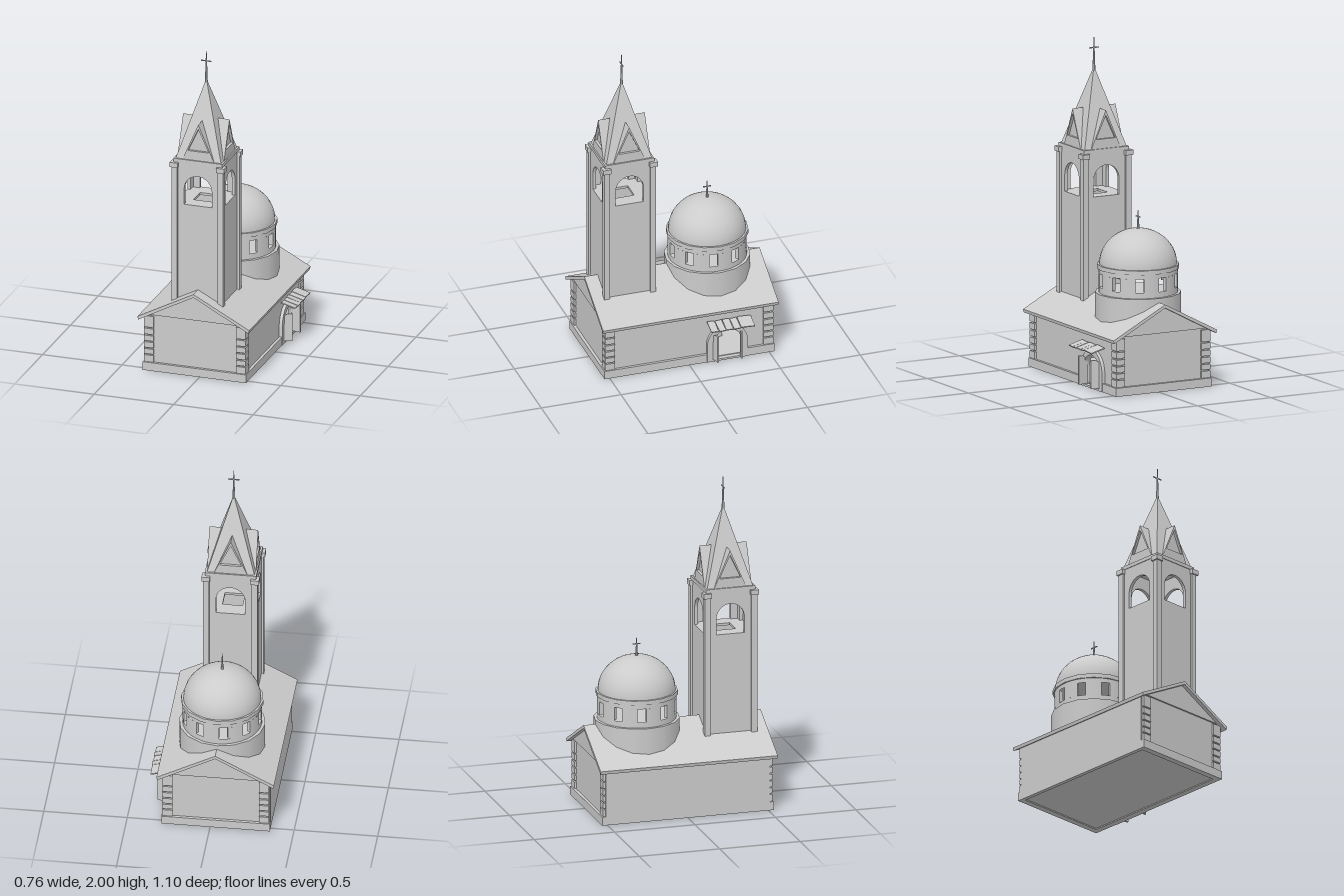
import * as THREE from 'three';

const CX = -0.033;          // axis of the church
const TZ = 0.317;           // tower centre
const DZ = -0.22;           // dome centre
const DOOR = -0.238;        // door centre along z
const SLOPE = 0.5256;
const roofY = (x) => 0.53 - Math.abs(x) * SLOPE;

const flat = new THREE.MeshStandardMaterial({ color: 0xcccccc, flatShading: true });
const smooth = new THREE.MeshStandardMaterial({ color: 0xcccccc });

function add(parent, name, geo, x = 0, y = 0, z = 0, mat = flat) {
  const m = new THREE.Mesh(geo, mat);
  m.name = name;
  m.position.set(x, y, z);
  parent.add(m);
  return m;
}
const box = (p, name, w, h, d, x, y, z) => add(p, name, new THREE.BoxGeometry(w, h, d), x, y, z);

function group(parent, name, x = 0, y = 0, z = 0) {
  const g = new THREE.Group();
  g.name = name;
  g.position.set(x, y, z);
  parent.add(g);
  return g;
}

const poly = (pts) => new THREE.Shape(pts.map((p) => new THREE.Vector2(...p)));
const rect = (x0, y0, x1, y1) => poly([[x0, y0], [x1, y0], [x1, y1], [x0, y1]]);

// Round-headed opening
function arch(cx, half, y0, spring, top, Type = THREE.Path) {
  const p = new Type();
  p.moveTo(cx - half, y0);
  p.lineTo(cx + half, y0);
  p.lineTo(cx + half, spring);
  p.absellipse(cx, spring, half, top - spring, 0, Math.PI, false);
  p.lineTo(cx - half, y0);
  return p;
}
const extrude = (shape, depth) =>
  new THREE.ExtrudeGeometry(shape, { depth, bevelEnabled: false, curveSegments: 14 });

function cross(parent, name, y0, y1, armY, arm, alongX, z) {
  const g = group(parent, name, 0, 0, z);
  add(g, 'crossShaft', new THREE.CylinderGeometry(0.002, 0.009, y1 - y0, 6), 0, (y0 + y1) / 2, 0);
  box(g, 'crossArm', alongX ? arm : 0.005, 0.006, alongX ? 0.005 : arm, 0, armY, 0);
}

function buildHall(root) {
  const hall = group(root, 'hall');
  // End walls with the gable band standing proud above the recessed panel
  for (const s of [1, -1]) {
    const end = group(hall, s > 0 ? 'frontWall' : 'backWall');
    if (s < 0) end.rotation.y = Math.PI;
    const g = 0.02;
    add(end, 'endPanel', extrude(poly([[-0.305, 0], [0.305, 0], [0.305, roofY(0.305) - g],
      [0, 0.53 - g], [-0.305, roofY(0.305) - g]]), 0.02), 0, 0, 0.495);
    add(end, 'gable', extrude(poly([[-0.3, 0.355], [0.3, 0.355], [0, 0.53 - 0.015]]), 0.02), 0, 0, 0.505);
  }
  // Side walls, the +x one with the doorway
  add(hall, 'plainSideWall', extrude(rect(-0.51, 0, 0.51, 0.355), 0.02), -0.305, 0, 0).rotation.y = -Math.PI / 2;
  const doorWall = rect(-0.51, 0, 0.51, 0.355);
  doorWall.holes.push(arch(-DOOR, 0.093, 0.012, 0.11, 0.203));
  add(hall, 'doorSideWall', extrude(doorWall, 0.02), 0.288, 0, 0).rotation.y = Math.PI / 2;
  box(hall, 'floor', 0.6, 0.01, 1.02, 0, 0.012, 0);

  // Plinth, interrupted at the doorway
  const ph = 0.052, d0 = DOOR - 0.1, d1 = DOOR + 0.1;
  for (const s of [1, -1]) box(hall, 'plinthEnd', 0.65, ph, 0.03, 0, ph / 2, s * 0.518);
  box(hall, 'plinthSide', 0.025, ph, 1.05, -0.3125, ph / 2, 0);
  for (const [a, b] of [[-0.525, d0], [d1, 0.525]])
    box(hall, 'plinthSide', 0.025, ph, b - a, 0.3125, ph / 2, (a + b) / 2);

  // Corner blocks separated by grooves
  const joints = [0.05, 0.1, 0.14, 0.183, 0.225, 0.27, 0.35];
  for (const sx of [1, -1]) for (const sz of [1, -1]) {
    for (let i = 0; i < joints.length - 1; i++) {
      const a = joints[i] + 0.004, b = joints[i + 1] - 0.004;
      box(hall, 'cornerBlock', 0.06, b - a, 0.062, sx * 0.29, (a + b) / 2, sz * 0.496);
    }
  }

  // Pitched roof slab
  const t = 0.02;
  add(hall, 'roof', extrude(poly([[-0.352, roofY(0.352)], [-0.347, roofY(0.352) - t], [0, 0.53 - t],
    [0.347, roofY(0.352) - t], [0.352, roofY(0.352)], [0, 0.53]]), 1.1), 0, 0, -0.55);
}

function buildDoor(root) {
  const door = group(root, 'entrance', 0, 0, DOOR);
  const surround = arch(0, 0.127, 0, 0.11, 0.236, THREE.Shape);
  surround.holes.push(arch(0, 0.093, 0.012, 0.11, 0.203));
  add(door, 'doorSurround', extrude(surround, 0.024), 0.304, 0, 0).rotation.y = Math.PI / 2;

  // Two open leaves with sloping tops
  for (const s of [1, -1]) {
    const leaf = extrude(poly([[0, 0.015], [0.065, 0.015], [0.065, 0.19], [0.035, 0.187], [0, 0.165]]), 0.01);
    leaf.translate(0, 0, -0.005);
    add(door, 'doorLeaf', leaf, 0.31, 0, s * 0.088).rotation.y = s * 0.22;
  }
  // Altar seen through the doorway
  box(door, 'altar', 0.06, 0.07, 0.1, 0.05, 0.05, 0);
  box(door, 'altarTop', 0.08, 0.01, 0.12, 0.05, 0.09, 0);

  // Uneven sloping canopy boards
  const widths = [0.09, 0.045, 0.048, 0.044, 0.05];
  let z = -0.147;
  widths.forEach((w, i) => {
    const b = box(door, 'canopyBoard', 0.092, 0.007, w - 0.004, 0.364 + (i % 2) * 0.003, 0.258, z + w / 2);
    b.rotation.set((i % 2 ? 1 : -1) * 0.06, 0, -0.27);
    z += w;
  });
}

function buildTower(root) {
  const tower = group(root, 'tower', 0, 0, TZ);
  const wall = rect(-0.148, 0.36, 0.148, 1.345);
  wall.holes.push(arch(0, 0.087, 1.065, 1.163, 1.252));
  const wallGeo = extrude(wall, 0.02);
  wallGeo.translate(0, 0, 0.13);
  // Gable face with a sunk triangle
  const gable = poly([[-0.1, 1.35], [0.1, 1.35], [0, 1.582]]);
  gable.holes.push(poly([[-0.066, 1.41], [0, 1.552], [0.066, 1.41]]));
  const gableGeo = extrude(gable, 0.016);
  gableGeo.translate(0, 0, 0.13);
  for (let i = 0; i < 4; i++) {
    const a = i * Math.PI / 2;
    add(tower, 'towerWall', wallGeo).rotation.y = a;
    add(tower, 'spireGable', gableGeo).rotation.y = a;
  }
  for (const sx of [1, -1]) for (const sz of [1, -1]) {
    box(tower, 'cornerPilaster', 0.036, 0.96, 0.036, sx * 0.145, 0.83, sz * 0.145);
    box(tower, 'pilasterCapital', 0.05, 0.03, 0.05, sx * 0.147, 1.315, sz * 0.147);
  }
  // Belfry floor with a hatch
  const floor = rect(-0.135, -0.135, 0.135, 0.135);
  floor.holes.push(rect(-0.06, -0.06, 0.06, 0.06));
  add(tower, 'belfryFloor', extrude(floor, 0.015), 0, 1.065, 0).rotation.x = Math.PI / 2;
  box(tower, 'cornice', 0.308, 0.022, 0.308, 0, 1.341, 0);

  // Spire with crossing gable roofs
  const spire = new THREE.ConeGeometry(0.143 * Math.SQRT2, 0.475, 4);
  spire.rotateY(Math.PI / 4);
  add(tower, 'spire', spire, 0, 1.35 + 0.2375, 0);
  const prism = extrude(poly([[-0.1, 1.35], [0.1, 1.35], [0, 1.582]]), 0.26);
  prism.translate(0, 0, -0.13);
  for (const a of [0, Math.PI / 2]) add(tower, 'gableRoof', prism).rotation.y = a;
  cross(tower, 'spireCross', 1.8, 2, 1.937, 0.066, true, 0);
}

function buildDome(root) {
  const dome = group(root, 'domedDrum', 0, 0, DZ);
  add(dome, 'drumBase', new THREE.CylinderGeometry(0.257, 0.257, 0.175, 16), 0, 0.4675, 0, smooth);

  // Windowed drum: bands above and below, piers between ten windows
  const R = 0.236, step = Math.PI / 5, half = 0.112, start = THREE.MathUtils.degToRad(81);
  for (const [a, b] of [[0.55, 0.59], [0.672, 0.705]])
    add(dome, 'drumBand', new THREE.CylinderGeometry(R, R, b - a, 40, 1, true), 0, (a + b) / 2, 0, smooth);
  for (let i = 0; i < 10; i++) {
    const t = start + i * step;
    add(dome, 'drumPier', new THREE.CylinderGeometry(R, R, 0.082, 4, 1, true, t + half, step - 2 * half),
      0, 0.631, 0, smooth);
    for (const s of [1, -1]) {
      const a = t + s * (half + 0.012);
      box(dome, 'windowJamb', 0.006, 0.082, 0.024, Math.sin(a) * 0.223, 0.631, Math.cos(a) * 0.223).rotation.y = a;
    }
  }
  add(dome, 'drumCornice', new THREE.CylinderGeometry(0.246, 0.246, 0.026, 16), 0, 0.712, 0, smooth);
  const cap = new THREE.SphereGeometry(0.232, 32, 14, 0, Math.PI * 2, 0, Math.PI / 2);
  cap.scale(1, 0.213 / 0.232, 1);
  add(dome, 'dome', cap, 0, 0.723, 0, smooth);
  cross(dome, 'domeCross', 0.925, 1.045, 1.007, 0.05, false, 0);
}

export function createModel() {
  const model = new THREE.Group();
  model.name = 'church';
  const root = group(model, 'building', CX, 0, 0);
  buildHall(root);
  buildDoor(root);
  buildTower(root);
  buildDome(root);
  return model;
}
